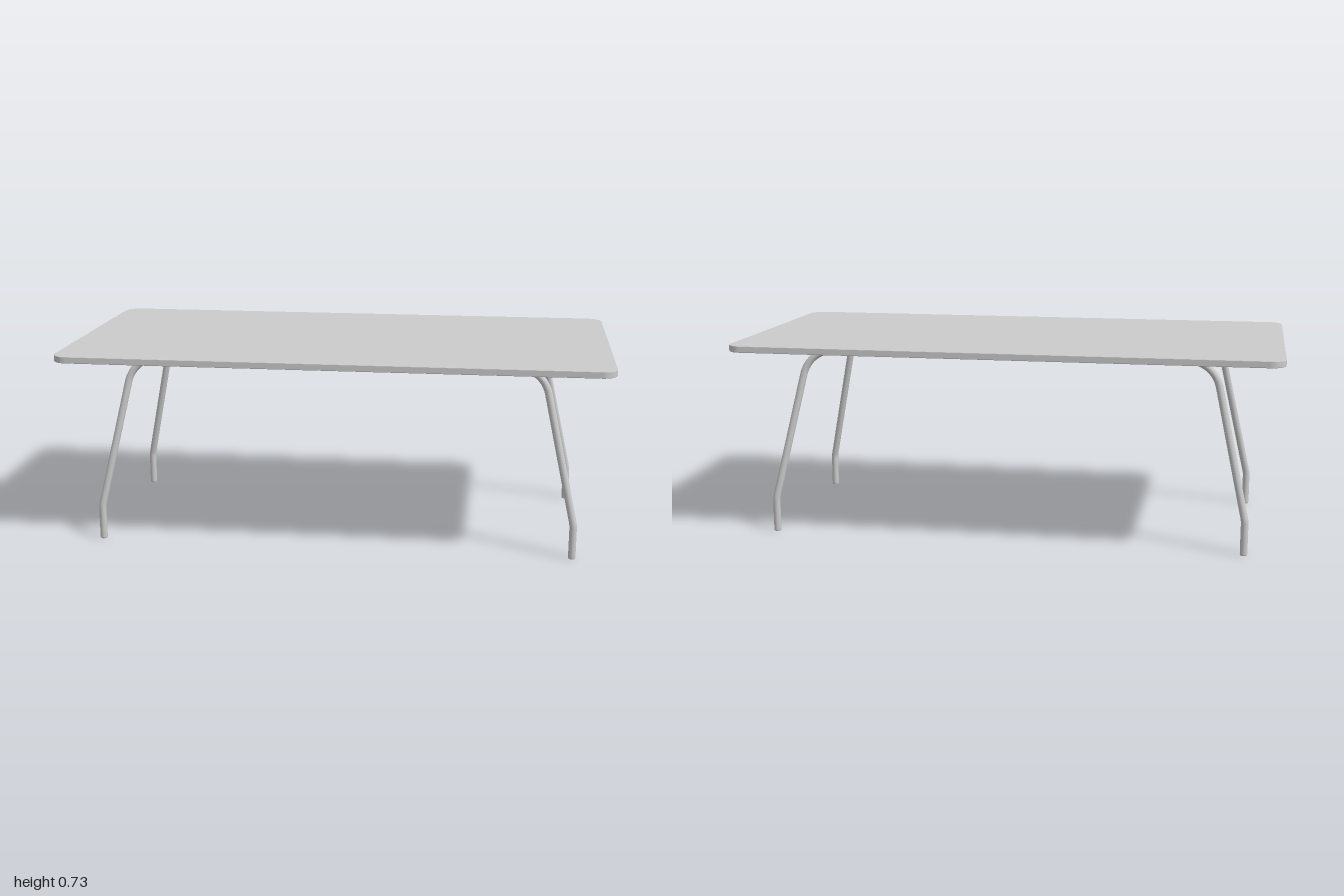
import * as THREE from 'three';

const R = 0.0135; // tube radius
const BAR_Y = 0.692, BAR_Z = 0.284;

// Rounded rectangle outline
function roundedRect(hx, hy, r) {
  const s = new THREE.Shape();
  s.absarc(hx - r, hy - r, r, 0, Math.PI / 2);
  s.absarc(-hx + r, hy - r, r, Math.PI / 2, Math.PI);
  s.absarc(-hx + r, -hy + r, r, Math.PI, Math.PI * 1.5);
  s.absarc(hx - r, -hy + r, r, Math.PI * 1.5, Math.PI * 2);
  s.closePath();
  return s;
}

// One side of the frame path, from the foot up to the end of the top bar
function legPoints(side) {
  const v = (x, y, z) => new THREE.Vector3(side * x, y, z);
  const foot = v(0.88, 0.005, 0.354);
  const knee = v(0.88, 0.127, 0.354);
  const corner = v(0.754, BAR_Y, BAR_Z);
  const arcLow = corner.clone().lerp(knee, 0.163);
  const arcHigh = v(0.66, BAR_Y, BAR_Z);
  return {
    foot, knee, arcLow, arcHigh,
    kneeLow: knee.clone().lerp(foot, 0.08),
    kneeHigh: knee.clone().lerp(arcLow, 0.02),
    handleLow: arcLow.clone().lerp(corner, 0.586),
    handleHigh: arcHigh.clone().lerp(corner, 0.586),
  };
}

function framePath() {
  const a = legPoints(-1), b = legPoints(1);
  const path = new THREE.CurvePath();
  path.add(new THREE.LineCurve3(a.foot, a.kneeLow));
  path.add(new THREE.QuadraticBezierCurve3(a.kneeLow, a.knee, a.kneeHigh));
  path.add(new THREE.LineCurve3(a.kneeHigh, a.arcLow));
  path.add(new THREE.CubicBezierCurve3(a.arcLow, a.handleLow, a.handleHigh, a.arcHigh));
  path.add(new THREE.LineCurve3(a.arcHigh, b.arcHigh));
  path.add(new THREE.CubicBezierCurve3(b.arcHigh, b.handleHigh, b.handleLow, b.arcLow));
  path.add(new THREE.LineCurve3(b.arcLow, b.kneeHigh));
  path.add(new THREE.QuadraticBezierCurve3(b.kneeHigh, b.knee, b.kneeLow));
  path.add(new THREE.LineCurve3(b.kneeLow, b.foot));
  return path;
}

export function createModel() {
  const model = new THREE.Group();
  model.name = 'table';
  const material = new THREE.MeshStandardMaterial({ color: 0xcccccc });
  const add = (parent, name, geometry, x = 0, y = 0, z = 0) => {
    const mesh = new THREE.Mesh(geometry, material);
    mesh.name = name;
    mesh.position.set(x, y, z);
    parent.add(mesh);
    return mesh;
  };

  // Tabletop with rounded corners and a slightly eased edge
  const bevel = 0.002;
  const top = new THREE.ExtrudeGeometry(roundedRect(1 - bevel, 0.5 - bevel, 0.055), {
    depth: 0.024 - 2 * bevel, bevelEnabled: true, bevelThickness: bevel,
    bevelSize: bevel, bevelSegments: 2, curveSegments: 12,
  });
  top.rotateX(-Math.PI / 2);
  add(model, 'tabletop', top, 0, 0.708 + bevel, 0);

  // Two bent-tube frames, the back one turned about the vertical axis
  for (const [name, turn] of [['frontFrame', 0], ['backFrame', Math.PI]]) {
    const frame = new THREE.Group();
    frame.name = name;
    frame.rotation.y = turn;
    add(frame, 'bentTube', new THREE.TubeGeometry(framePath(), 260, R, 16, false));
    // Flat mounting strip between the bar and the tabletop
    add(frame, 'mountingStrip', new THREE.BoxGeometry(1.32, 0.014, 2 * R), 0, BAR_Y + 0.007, BAR_Z);
    // Glides closing the feet
    for (const side of [-1, 1]) {
      add(frame, 'footGlide', new THREE.CylinderGeometry(R, R * 0.9, 0.006, 16), side * 0.88, 0.003, 0.354);
    }
    model.add(frame);
  }
  return model;
}
